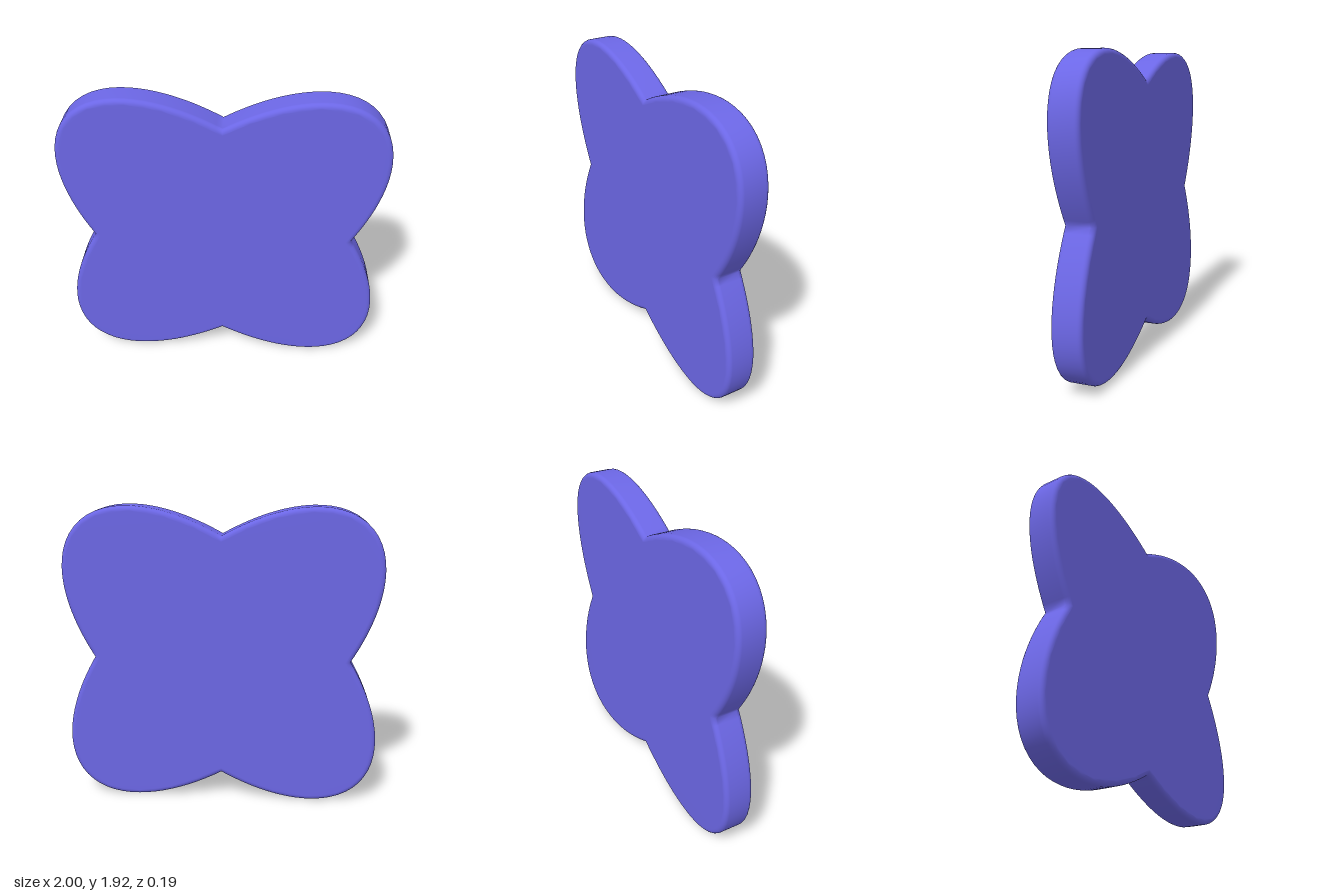
import * as THREE from 'three';
import { mergeVertices } from 'three/addons/utils/BufferGeometryUtils.js';

const HALF_W = 1, HALF_H = 0.96, DEPTH = 0.19, BEVEL = 0.03;
const TILT = 0.58; // how far the two crossed ellipses lean to the corners

// Outline: the union of two mirrored, tilted ellipses, sampled by angle
function lobedOutline(count) {
  const a2 = HALF_W ** 2, b2 = HALF_H ** 2, cross = TILT * HALF_W * HALF_H;
  const det = a2 * b2 - cross ** 2;
  const points = [];
  for (let i = 0; i < count; i++) {
    const t = (i / count) * Math.PI * 2;
    const c = Math.cos(t), s = Math.sin(t);
    const r = Math.sqrt(det / (b2 * c * c - 2 * cross * Math.abs(s * c) + a2 * s * s));
    points.push(new THREE.Vector2(r * c, r * s));
  }
  return new THREE.Shape(points);
}

export function createModel() {
  const group = new THREE.Group();
  group.name = 'fourLobedPlate';

  // Plate with softly rounded rims
  let geometry = new THREE.ExtrudeGeometry(lobedOutline(144), {
    depth: DEPTH - 2 * BEVEL,
    bevelThickness: BEVEL,
    bevelSize: BEVEL,
    bevelOffset: -BEVEL,
    bevelSegments: 5,
  });
  geometry.translate(0, HALF_H, BEVEL - DEPTH / 2);

  // Weld the surface so the rim shades smoothly
  geometry.deleteAttribute('normal');
  geometry.deleteAttribute('uv');
  geometry = mergeVertices(geometry, 1e-4);
  geometry.computeVertexNormals();

  const plate = new THREE.Mesh(geometry, new THREE.MeshStandardMaterial({ color: 0x6c67e6 }));
  plate.name = 'plate';
  group.add(plate);
  return group;
}
